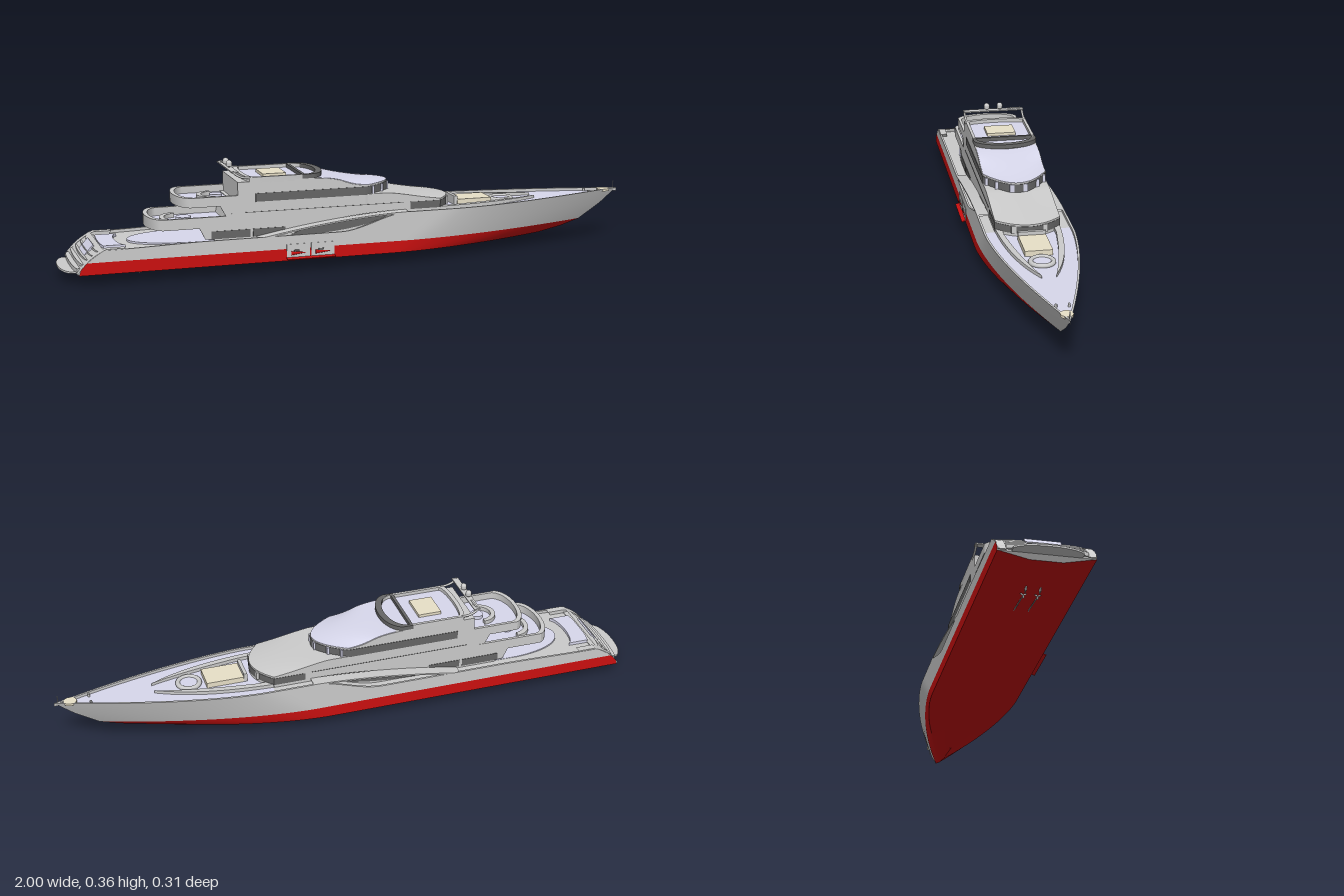
import * as THREE from 'three';
import { toCreasedNormals } from 'three/addons/utils/BufferGeometryUtils.js';

const GREY = 0xcccccc, RED = 0xcc1010, DECK = 0xd8d8ec, GLASS = 0x666666, PAD = 0xe8e0c8;
const W = 0.1075; // half width of the deck houses
const B = 0.1475; // half beam of the hull
const lerp = THREE.MathUtils.lerp, smooth = THREE.MathUtils.smoothstep;

export function createModel() {
  const root = new THREE.Group();
  root.name = 'motorYacht';
  const boat = new THREE.Group();
  boat.name = 'boat';
  boat.position.z = -0.0075;
  root.add(boat);

  const add = (name, geo, color = GREY, x = 0, y = 0, z = 0) => {
    const mat = new THREE.MeshStandardMaterial({ color, side: THREE.DoubleSide });
    const mesh = new THREE.Mesh(geo, mat);
    mesh.name = name;
    mesh.position.set(x, y, z);
    boat.add(mesh);
    return mesh;
  };
  const box = (name, color, sx, sy, sz, x, y, z) => add(name, new THREE.BoxGeometry(sx, sy, sz), color, x, y, z);
  const cyl = (name, color, r0, r1, h, x, y, z) => add(name, new THREE.CylinderGeometry(r0, r1, h, 20), color, x, y, z);
  const tube = (name, pts, r) => add(name, new THREE.TubeGeometry(
    new THREE.CatmullRomCurve3(pts.map(p => new THREE.Vector3(...p))), 24, r, 8));

  // Skin stretched over rows of points
  const skin = rows => {
    const n = rows[0].length, idx = [];
    for (let i = 0; i < rows.length - 1; i++) for (let j = 0; j < n - 1; j++) {
      const a = i * n + j, b = a + n;
      idx.push(a, a + 1, b, b, a + 1, b + 1);
    }
    const g = new THREE.BufferGeometry();
    g.setAttribute('position', new THREE.Float32BufferAttribute(rows.flat(2), 3));
    g.setIndex(idx);
    return toCreasedNormals(g, 0.6);
  };

  // Plan shape in x/z extruded upwards from y
  const slab = (name, shape, y, h, color) => {
    const g = new THREE.ExtrudeGeometry(shape, { depth: h, bevelEnabled: false, curveSegments: 20 });
    g.rotateX(-Math.PI / 2);
    return add(name, toCreasedNormals(g, 0.5), color, 0, y, 0);
  };

  // ---- Hull: each level is [y, half beam, stem x, stern x, x where it narrows, power]
  const sheer = x => lerp(0.115, 0.122, smooth(x, -0.87, -0.5)) + 0.053 * smooth(x, -0.08, 0.16) + 0.005 * smooth(x, 0.4, 1);
  const levels = [
    [0.022, 0, 0.56, -0.94, 0.1, 1.7], [0.021, 0.05, 0.56, -0.94, 0.1, 1.7],
    [0.037, B, 0.7, -0.95, 0.1, 1.7], [0.055, B, 0.785, -0.945, 0.12, 1.7],
    [0.077, B, 0.855, -0.925, 0.15, 1.65],
    [null, B, 0.935, -0.9, 0.23, 1.6], [null, B, 0.998, -0.87, 0.32, 1.55],
  ];
  const hullPoint = (k, u, inset = 0, drop = 0) => {
    const [y, b, stem, stern, x0, p] = levels[k];
    const x = lerp(stern, stem, u), t = Math.max(0, (x - x0) / (stem - x0));
    const w = Math.max(0, b * (1 - t ** p) - inset);
    const yy = k === 5 ? lerp(0.077, sheer(x), 0.5) : k === 6 ? sheer(x) - drop : y;
    return [x, yy, w];
  };
  const N = 100;
  const hullRows = (profile, from = 0, to = 1) => Array.from({ length: N + 1 }, (_, i) => profile(lerp(from, to, i / N)));
  const mirror = pts => [...pts.map(([x, y, z]) => [x, y, -z]).reverse(), ...pts];
  add('bottomHull', skin(hullRows(u => mirror([0, 1, 2, 3, 4].map(k => hullPoint(k, u))))), RED);
  for (const s of [1, -1]) add('topside', skin(hullRows(u =>
    [hullPoint(4, u), hullPoint(5, u), hullPoint(6, u), hullPoint(6, u, 0.007), hullPoint(6, u, 0.007, 0.012)]
      .map(([x, y, z]) => [x, y, s * z]))));
  const deckRow = u => mirror([hullPoint(6, u, 0.006, 0.01)]);
  add('sideDeck', skin(hullRows(deckRow, 0, 0.62)));
  add('foredeck', skin(hullRows(deckRow, 0.62, 1)), DECK);
  add('transom', skin([1, 2, 3, 4, 5, 6].map(k => mirror([hullPoint(k, 0)]))));

  // ---- Deck houses: bands across the boat that bow forward more and more towards the front
  const house = (name, x0, x1, bend, y0, roof, w = W, color = GREY) => {
    const row = (xc, flat) => {
      const b = bend * smooth(xc, x1 - 0.25, x1) * (w / W) ** 2, y = flat ? y0 : roof(xc), pts = [];
      for (let j = -10; j <= 10; j++) pts.push([xc - b * (j / 10) ** 2, y, w * j / 10]);
      return [[pts[0][0], y0, -w], ...pts, [pts[20][0], y0, w]];
    };
    const rows = [row(x0, true)];
    for (let i = 0; i <= 50; i++) rows.push(row(lerp(x0, x1, i / 50)));
    rows.push(row(x1, true));
    return add(name, skin(rows), color);
  };
  const wheelRoof = x => lerp(0.302, 0.264, smooth(x, -0.2, 0.18));
  house('mainHouse', -0.5, 0.34, 0.055, 0.1, x => x < -0.44 ? 0.16 : lerp(0.236, 0.206, Math.max(0, (x - 0.1) / 0.24)));
  house('loungeGlass', 0.2, 0.3415, 0.055, 0.175, () => 0.2, W + 0.001, GLASS);
  house('wheelhouse', -0.42, 0.125, 0.1, 0.2, wheelRoof);
  house('wheelhouseRoof', -0.14, 0.1245, 0.1, 0.262, x => wheelRoof(x) + 0.0015, W - 0.002, DECK);
  house('wheelhouseGlass', -0.36, 0.127, 0.1, 0.234, () => 0.262, W + 0.0015, GLASS);
  for (const z of [-0.094, -0.066, -0.022, 0.022, 0.066, 0.094])
    box('windowPost', DECK, 0.008, 0.027, 0.018, 0.125 - 0.1 * (z / W) ** 2, 0.248, z);
  for (const z of [-0.052, 0.052]) box('loungePost', GREY, 0.01, 0.026, 0.016, 0.3405 - 0.055 * (z / W) ** 2, 0.188, z);

  // ---- Side glazing on the main deck, under an arched overhang that meets the bulwark
  const eye = new THREE.Shape();
  eye.moveTo(-0.25, 0.112);
  eye.quadraticCurveTo(-0.12, 0.172, 0.13, 0.175);
  eye.quadraticCurveTo(0.02, 0.11, -0.25, 0.112);
  for (const s of [1, -1]) {
    const g = new THREE.ExtrudeGeometry(eye, { depth: 0.002, bevelEnabled: false, curveSegments: 20 });
    add('sideWindow', g, GLASS, 0, 0, s * (W + 0.001) - 0.001);
    const arch = [];
    for (let i = 0; i <= 30; i++) {
      const t = i / 30, x = lerp(-0.36, 0.16, t), y = 0.118 + 0.0575 * (1 - (1 - t) ** 1.7);
      arch.push([[x, y, s * W], [x, y, s * B], [x, y - 0.005, s * B], [x, y - 0.005, s * W]]);
    }
    add('sideOverhang', skin(arch));
    for (const [a, b] of [[-0.51, -0.38], [-0.37, -0.26]])
      box('saloonWindow', GLASS, b - a, 0.026, 0.003, (a + b) / 2, 0.131, s * W);
    box('deckLine', GLASS, 0.55, 0.002, 0.002, -0.12, 0.2, s * W);
  }

  // ---- Open decks with a coaming
  const plan = (x0, x1, w, back, front) => {
    const s = new THREE.Shape();
    s.moveTo(x0 + back, -w);
    s.lineTo(x1 - front, -w);
    s.bezierCurveTo(x1, -w * 0.8, x1, w * 0.8, x1 - front, w);
    s.lineTo(x0 + back, w);
    s.bezierCurveTo(x0, w * 0.8, x0, -w * 0.8, x0 + back, -w);
    return s;
  };
  const openDeck = (name, x0, x1, y0, y1, back, front) => {
    const rim = plan(x0, x1, W, back, front);
    rim.holes.push(plan(x0 + 0.014, x1 - 0.012, W - 0.01, back, front));
    slab(name + 'Coaming', rim, y0, y1 - y0);
    slab(name + 'Floor', plan(x0 + 0.005, x1 - 0.005, W - 0.004, back, front), y0, 0.008, DECK);
  };
  openDeck('sunDeck', -0.4, -0.1, 0.296, 0.316, 0.02, 0.07);
  openDeck('upperAftDeck', -0.633, -0.38, 0.226, 0.258, 0.055, 0.01);
  openDeck('lowerAftDeck', -0.725, -0.42, 0.156, 0.192, 0.055, 0.01);
  const visor = plan(-0.2, -0.094, W + 0.001, 0, 0.07);
  visor.holes.push(plan(-0.19, -0.115, W - 0.006, 0, 0.07));
  slab('windVisor', visor, 0.302, 0.0145, GLASS);
  box('sunPad', PAD, 0.08, 0.012, 0.1, -0.28, 0.308, 0);
  for (const s of [1, -1]) {
    // Slanted wing walls joining the decks
    for (const [x, y, h] of [[-0.445, 0.209, 0.036], [-0.515, 0.138, 0.04]]) {
      const wing = new THREE.Shape([[-0.015, -h / 2], [0.05, -h / 2], [0.05, h / 2], [-0.035, h / 2]].map(p => new THREE.Vector2(...p)));
      add('wingWall', new THREE.ExtrudeGeometry(wing, { depth: 0.006, bevelEnabled: false }), GREY, x, y, s * (W - 0.004) - 0.003);
    }
    tube('mastLeg', [[-0.37, 0.314, s * 0.103], [-0.4, 0.316, s * 0.104], [-0.42, 0.324, s * 0.104], [-0.435, 0.336, s * 0.104]], 0.004);
  }

  // ---- Mast arch with domes and radar
  box('mastBar', GREY, 0.022, 0.004, 0.216, -0.428, 0.335, 0);
  for (const z of [0.0235, -0.0235]) {
    cyl('domeFoot', GREY, 0.003, 0.003, 0.008, -0.428, 0.339, z);
    cyl('domeBody', GREY, 0.01, 0.0095, 0.01, -0.428, 0.347, z);
    add('domeTop', new THREE.SphereGeometry(0.01, 20, 10, 0, Math.PI * 2, 0, Math.PI / 2), GREY, -0.428, 0.352, z);
  }
  cyl('radarFoot', GREY, 0.004, 0.006, 0.004, -0.428, 0.338, -0.075);
  box('radarBar', GREY, 0.006, 0.002, 0.046, -0.428, 0.34, -0.075);

  // ---- Seats on the aft decks: half rings open towards the bow
  const sofa = (name, x, y, r, sz = 1) => {
    const s = new THREE.Shape();
    s.absarc(0, 0, r, -Math.PI / 2, Math.PI / 2, false);
    s.absarc(0, 0, r - 0.016, Math.PI / 2, -Math.PI / 2, true);
    const m = slab(name, s, y, 0.014, GREY);
    m.rotation.y = Math.PI;
    m.position.x = x;
    m.scale.z = sz;
  };
  sofa('upperSofa', -0.48, 0.234, 0.055);
  sofa('lowerSofa', -0.6, 0.164, 0.06, 1.2);
  cyl('upperTable', DECK, 0.022, 0.022, 0.012, -0.47, 0.242, 0);
  cyl('lowerTable', DECK, 0.026, 0.026, 0.012, -0.58, 0.172, 0);

  // ---- Stern: cockpit floor, bench, garage door, curved stairs and swim platform
  slab('cockpitFloor', plan(-0.83, -0.5, 0.104, 0.24, 0), 0.105, 0.008, DECK);
  slab('sternBench', plan(-0.87, -0.82, 0.085, 0.01, -0.03), 0.104, 0.012, DECK);
  box('garageDoor', DECK, 0.006, 0.082, 0.11, -0.915, 0.083, 0).rotation.z = -0.72;
  slab('swimPlatform', plan(-1.01, -0.9, 0.105, 0.04, 0), 0.037, 0.006);
  for (let i = 0; i < 5; i++)
    slab('sternStep', plan(-0.965 + i * 0.017, -0.86, 0.122, 0.012, 0), 0.043 + i * 0.013, 0.013);
  for (const s of [1, -1]) {
    const cheek = new THREE.Shape();
    cheek.moveTo(-0.955, 0.04);
    cheek.quadraticCurveTo(-0.92, 0.095, -0.86, 0.118);
    cheek.lineTo(-0.8, 0.118);
    cheek.lineTo(-0.86, 0.04);
    add('sternCheek', new THREE.ExtrudeGeometry(cheek, { depth: 0.024, bevelEnabled: false }), GREY, 0, 0, s * 0.1335 - 0.012);
  }

  // ---- Foredeck: tapered bulwarks, sun pad, round pool, bow fittings
  for (const s of [1, -1]) {
    const b = new THREE.Shape();
    b.moveTo(0.26, s * 0.107);
    b.quadraticCurveTo(0.52, s * 0.1, 0.67, s * 0.022);
    b.quadraticCurveTo(0.54, s * 0.062, 0.34, s * 0.085);
    b.lineTo(0.28, s * 0.085);
    slab('foredeckBulwark', b, 0.163, 0.014);
    cyl('bollard', GREY, 0.004, 0.004, 0.012, 0.88, 0.174, s * 0.02);
  }
  box('foredeckPad', PAD, 0.125, 0.018, 0.09, 0.435, 0.175, 0);
  box('padBackrest', GREY, 0.012, 0.03, 0.09, 0.366, 0.181, 0);
  add('poolRim', new THREE.TorusGeometry(0.036, 0.008, 10, 32).rotateX(Math.PI / 2), GREY, 0.55, 0.17, 0);
  cyl('poolWater', DECK, 0.032, 0.032, 0.008, 0.55, 0.168, 0);
  cyl('bowSeat', PAD, 0.022, 0.022, 0.008, 0.945, 0.176, 0).scale.z = 0.9;
  cyl('bowStaff', GREY, 0.0015, 0.0015, 0.03, 0.985, 0.19, 0);

  // ---- Opened side hatch with two small craft on its fold-down platform
  for (const x of [-0.227, -0.143]) {
    box('hatchPanel', GREY, 0.08, 0.045, 0.003, x, 0.07, B);
    const craft = cyl('smallCraft', RED, 0.001, 0.007, 0.05, x, 0.062, 0.149);
    craft.rotation.z = -Math.PI / 2;
    craft.scale.z = 0.6;
    box('craftSeat', GLASS, 0.018, 0.006, 0.006, x - 0.006, 0.07, 0.15);
  }
  box('hatchPlatform', RED, 0.165, 0.003, 0.02, -0.185, 0.046, 0.1525).rotation.x = 0.25;

  // ---- Propellers, shafts and rudders
  for (const z of [0.022, -0.022]) {
    tube('shaft', [[-0.6, 0.024, z], [-0.67, 0.017, z], [-0.735, 0.011, z]], 0.002);
    for (let i = 0; i < 3; i++) {
      const blade = add('propellerBlade', new THREE.SphereGeometry(1, 10, 6).scale(0.0015, 0.0055, 0.003).translate(0, 0.0055, 0), GREY, -0.735, 0.011, z);
      blade.rotation.x = Math.PI + i * Math.PI * 2 / 3;
    }
    box('rudder', GREY, 0.02, 0.014, 0.003, -0.765, 0.016, z);
  }
  return root;
}
